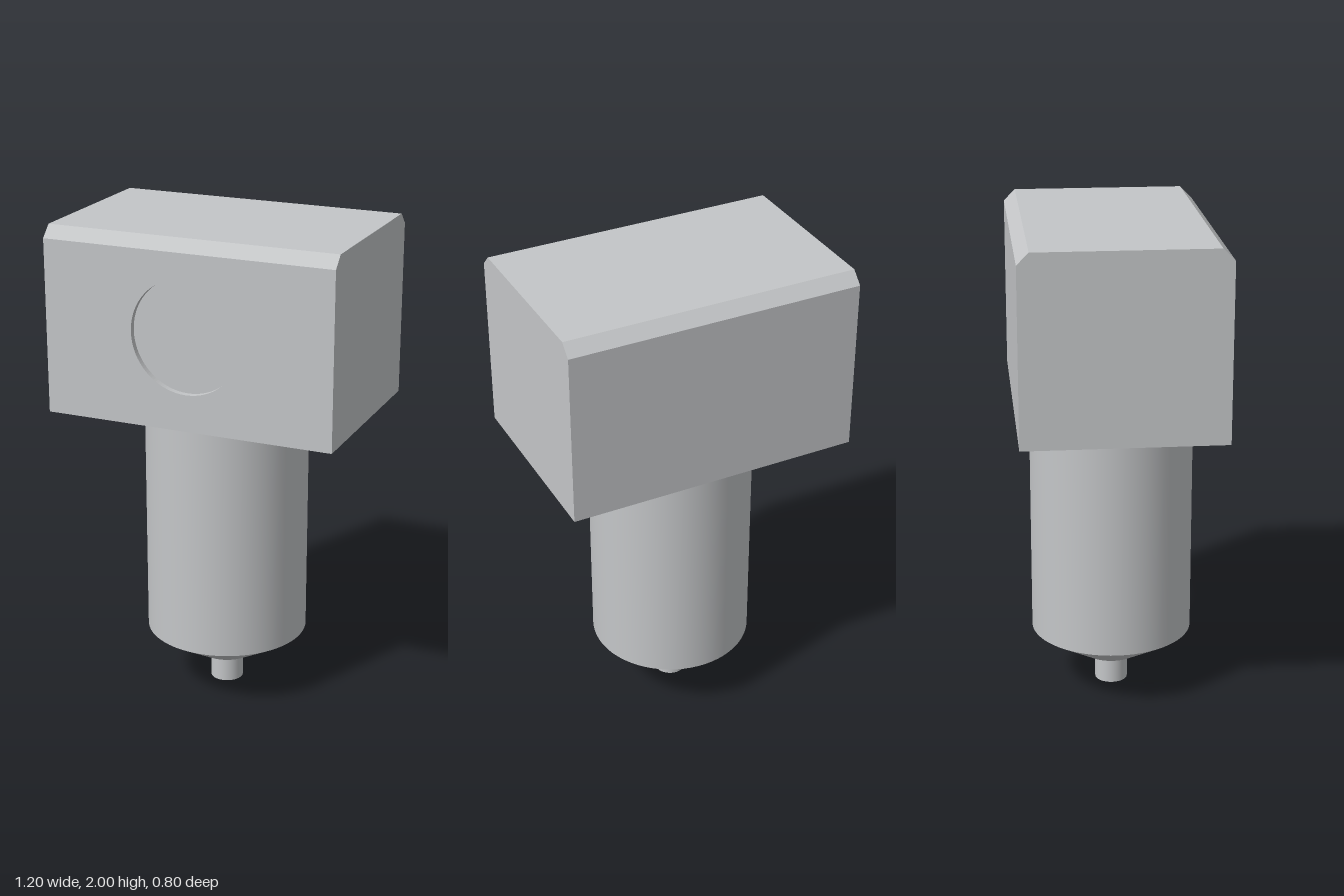
import * as THREE from 'three';

const SEGMENTS = 64;

export function createModel() {
  const model = new THREE.Group();
  model.name = 'spindleUnit';
  const metal = new THREE.MeshStandardMaterial({ color: 0xc4c6c8 });
  metal.name = 'light grey metal';

  const add = (name, geometry) => {
    const mesh = new THREE.Mesh(geometry, metal);
    mesh.name = name;
    model.add(mesh);
    return mesh;
  };

  // Head dimensions
  const halfW = 0.6, halfD = 0.4, bottom = 1.245, top = 2;
  const chamfer = 0.047, recess = 0.025;
  const shoulder = top - chamfer;

  // Head block: side profile (z, y) with chamfered top edges and a step for the front panel
  const profile = new THREE.Shape([
    [-halfD, bottom], [halfD - recess, bottom], [halfD - recess, shoulder],
    [halfD, shoulder], [halfD - chamfer, top], [-halfD + chamfer, top], [-halfD, shoulder],
  ].map(([z, y]) => new THREE.Vector2(z, y)));
  const block = new THREE.ExtrudeGeometry(profile, { depth: 2 * halfW, bevelEnabled: false });
  block.rotateY(-Math.PI / 2).translate(halfW, 0, 0);
  add('headBlock', block);

  // Front panel whose round opening forms a shallow recess
  const panel = new THREE.Shape([
    new THREE.Vector2(-halfW, bottom), new THREE.Vector2(halfW, bottom),
    new THREE.Vector2(halfW, shoulder), new THREE.Vector2(-halfW, shoulder),
  ]);
  panel.holes.push(new THREE.Path().absarc(0, 1.625, 0.23, 0, Math.PI * 2, true));
  const panelGeometry = new THREE.ExtrudeGeometry(panel, {
    depth: recess, bevelEnabled: false, curveSegments: SEGMENTS,
  });
  add('frontPanel', panelGeometry.translate(0, 0, halfD - recess));

  // Round parts below the head: name, top radius, bottom radius, top y, bottom y
  const turned = [
    ['barrel', 0.335, 0.335, bottom, 0.255],
    ['taperedNose', 0.335, 0.12, 0.255, 0.125],
    ['tip', 0.068, 0.068, 0.125, 0],
  ];
  for (const [name, rTop, rBottom, yTop, yBottom] of turned) {
    const geometry = new THREE.CylinderGeometry(rTop, rBottom, yTop - yBottom, SEGMENTS);
    add(name, geometry).position.y = (yTop + yBottom) / 2;
  }

  return model;
}
